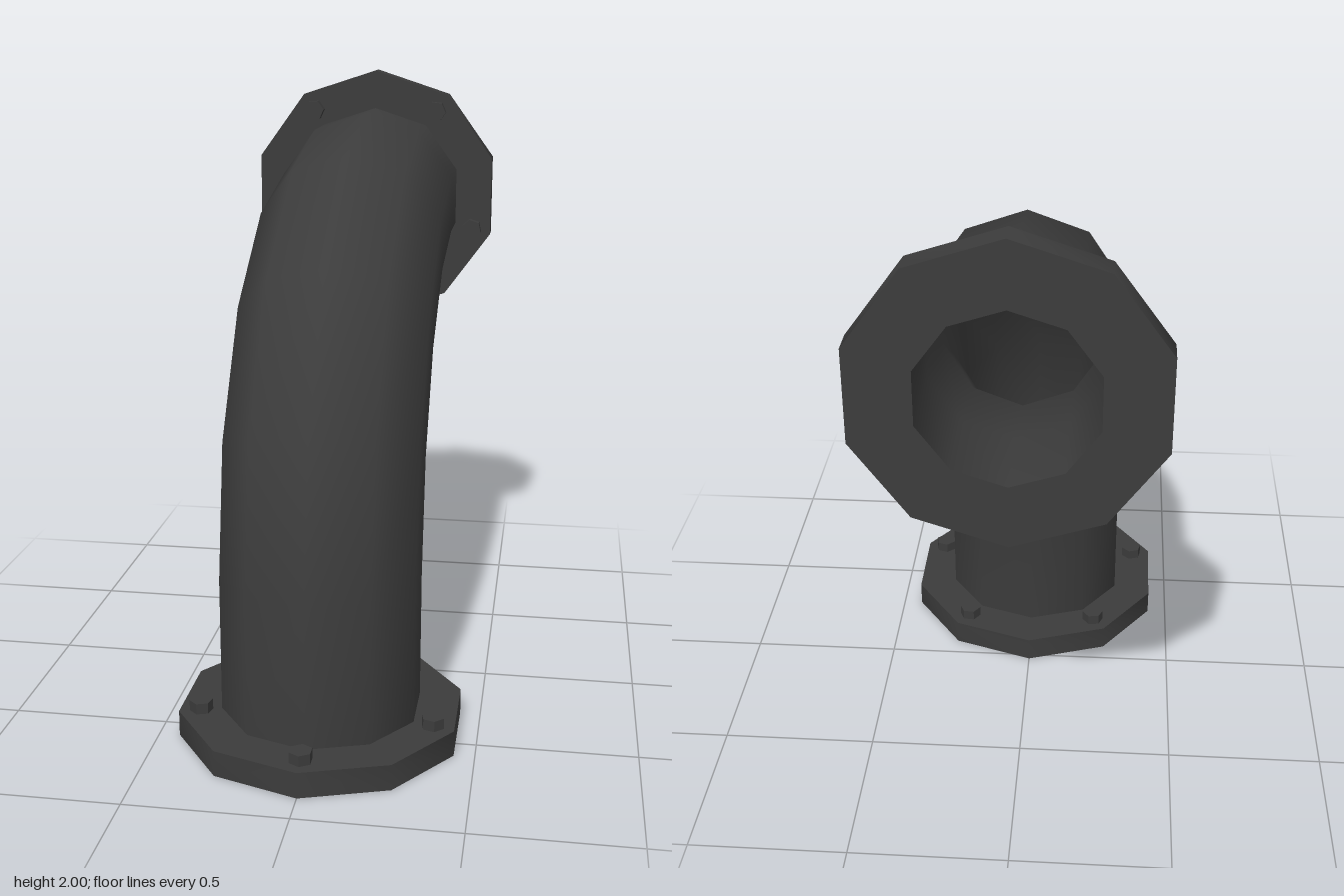
import * as THREE from 'three';
import { toCreasedNormals } from 'three/addons/utils/BufferGeometryUtils.js';

const SIDES = 10;
const PIPE_R = 0.321, BORE_R = 0.263, FLANGE_R = 0.457, FLANGE_H = 0.083;
const BASE_Z = 0.435, TOP_Y = 1.543, END = 0.892;

const iron = new THREE.MeshStandardMaterial({ color: 0x3c3c3c });
iron.name = 'dark iron';

// Bend centreline as [z, y, ring tilt in degrees]
const BEND = [
  [0.434, 0.505, 6], [0.357, 0.9, 22.5], [0.13, 1.24, 45], [-0.21, 1.463, 67.5], [-0.6, 1.543, 84],
];

// Sweep a ten-sided ring along the bend; inset shortens both ends, inward flips the faces
function sweptTube(radius, inset, inward) {
  const path = [[BASE_Z, inset, 0], ...BEND, [-END + inset, TOP_Y, 90]];
  const pos = [], index = [];
  path.forEach(([z, y, deg], i) => {
    const t = THREE.MathUtils.degToRad(deg);
    const end = i === 0 || i === path.length - 1;
    const mitre = end ? 1 : (i === 1 || i === path.length - 2 ? 1.005 : 1.02);
    for (let j = 0; j < SIDES; j++) {
      const a = (j / SIDES) * Math.PI * 2;
      const out = Math.cos(a) * radius * mitre;
      pos.push(Math.sin(a) * radius, y + Math.sin(t) * out, z + Math.cos(t) * out);
      if (end && i > 0) continue;
      const k = (j + 1) % SIDES;
      const p = i * SIDES + j, q = i * SIDES + k, r = p + SIDES, s = q + SIDES;
      if (inward) index.push(p, s, q, p, r, s);
      else index.push(p, q, s, p, s, r);
    }
  });
  const g = new THREE.BufferGeometry();
  g.setAttribute('position', new THREE.Float32BufferAttribute(pos, 3));
  g.setIndex(index);
  g.computeVertexNormals();
  return g;
}

function addMesh(parent, name, geometry) {
  const mesh = new THREE.Mesh(geometry, iron);
  mesh.name = name;
  parent.add(mesh);
  return mesh;
}

// Ring plate with five hexagonal bolts on its inner face
function makeFlange(name) {
  const group = new THREE.Group();
  group.name = name;
  const profile = [
    [BORE_R, 0], [FLANGE_R, 0], [FLANGE_R, FLANGE_H], [BORE_R, FLANGE_H],
  ].map(([x, y]) => new THREE.Vector2(x, y));
  addMesh(group, 'flangePlate', toCreasedNormals(new THREE.LatheGeometry(profile, SIDES), 0.9));

  const boltShape = new THREE.CylinderGeometry(0.037, 0.037, 0.055, 6).toNonIndexed();
  boltShape.computeVertexNormals();
  for (let i = 0; i < 5; i++) {
    const a = (i / 5) * Math.PI * 2;
    const bolt = addMesh(group, 'bolt', boltShape);
    bolt.position.set(Math.sin(a) * 0.386, FLANGE_H + 0.0075, Math.cos(a) * 0.386);
    bolt.rotation.y = a;
  }
  return group;
}

export function createModel() {
  const model = new THREE.Group();
  model.name = 'pipeElbow';

  // Outer wall, and the bore that runs through both flanges
  addMesh(model, 'pipeWall', sweptTube(PIPE_R, FLANGE_H / 2, false));
  addMesh(model, 'pipeBore', sweptTube(BORE_R, 0, true));

  // Bottom flange, and the rear one turned to face along z
  const base = makeFlange('baseFlange');
  base.position.set(0, 0, BASE_Z);
  const rear = makeFlange('rearFlange');
  rear.rotation.x = Math.PI / 2;
  rear.position.set(0, TOP_Y, -END);
  model.add(base, rear);
  return model;
}
